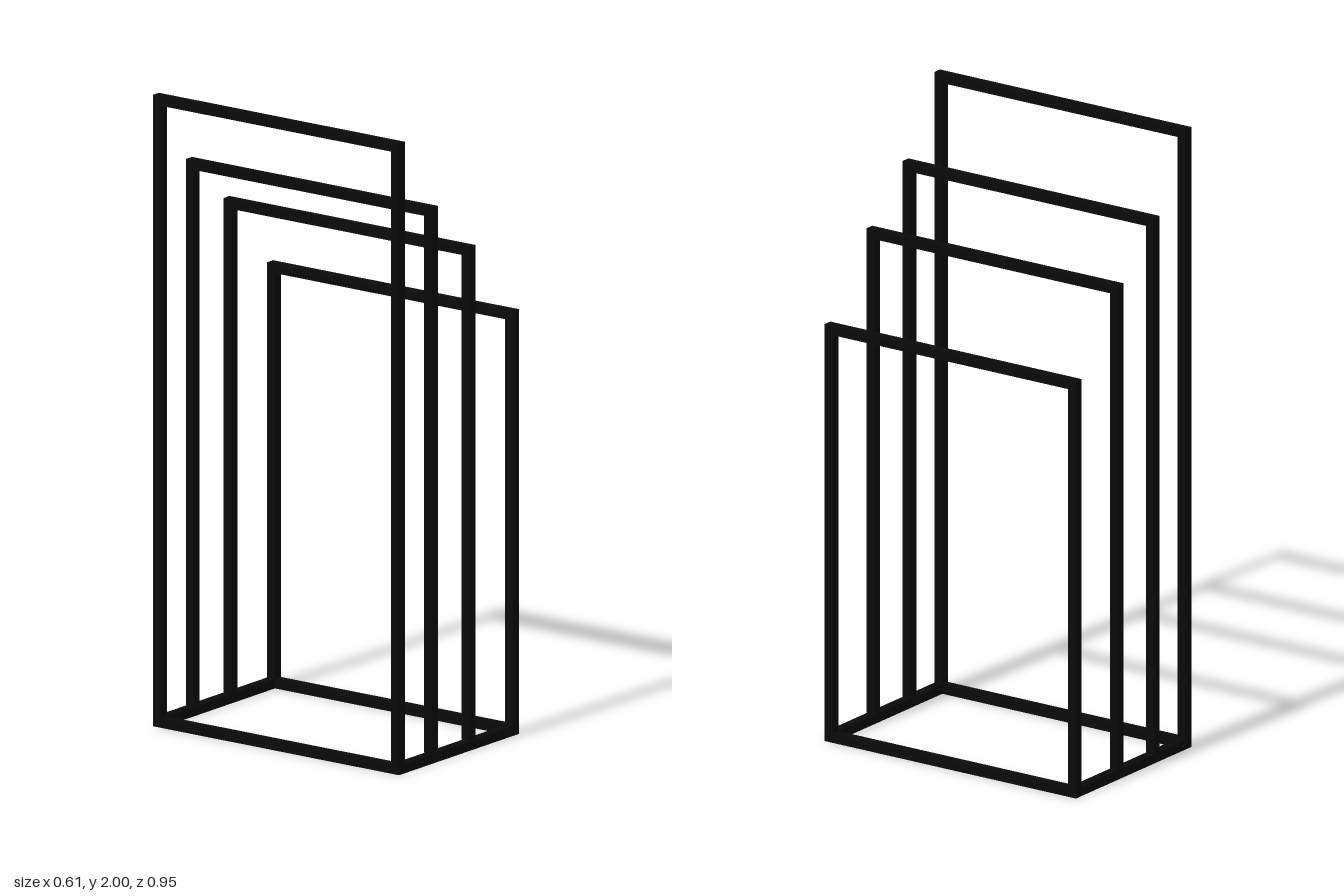
import * as THREE from 'three';

export function createModel() {
  const group = new THREE.Group();
  group.name = 'steppedRack';
  const black = new THREE.MeshStandardMaterial({ color: 0x0a0a0a });
  black.name = 'black';

  const T = 0.03;          // square bar thickness
  const X = 0.288;         // centre line of the outer frames
  const Z = 0.457;         // centre line of the front and back bars

  function bar(name, parent, w, h, d, x, y, z) {
    const mesh = new THREE.Mesh(new THREE.BoxGeometry(w, h, d), black);
    mesh.name = name;
    mesh.position.set(x, y, z);
    parent.add(mesh);
  }

  // Upright frames stepping down from right to left: [x, height, shift in z]
  const frames = [[-X, 2, 0], [-0.119, 1.76, -0.002], [0.071, 1.595, -0.002], [X, 1.345, 0]];
  frames.forEach(([x, height, shift], i) => {
    const frame = new THREE.Group();
    frame.name = `uprightFrame${i + 1}`;
    frame.position.z = shift;
    const outer = i === 0 || i === 3;
    const foot = outer ? 0 : T;   // inner posts stand on the base rails
    for (const s of [1, -1]) {
      bar(s > 0 ? 'frontPost' : 'backPost', frame, T, height - foot, T, x, (height + foot) / 2, s * Z);
    }
    bar('topBar', frame, T, T, 2 * Z - T, x, height - T / 2, 0);
    // Only the outer frames close at the floor
    if (outer) bar('floorBar', frame, T, T, 2 * Z - T, x, T / 2, 0);
    group.add(frame);
  });

  // Base rails joining the frames
  for (const s of [1, -1]) {
    bar(s > 0 ? 'frontBaseRail' : 'backBaseRail', group, 2 * X - T, T, T, 0, T / 2, s * Z);
  }
  return group;
}
